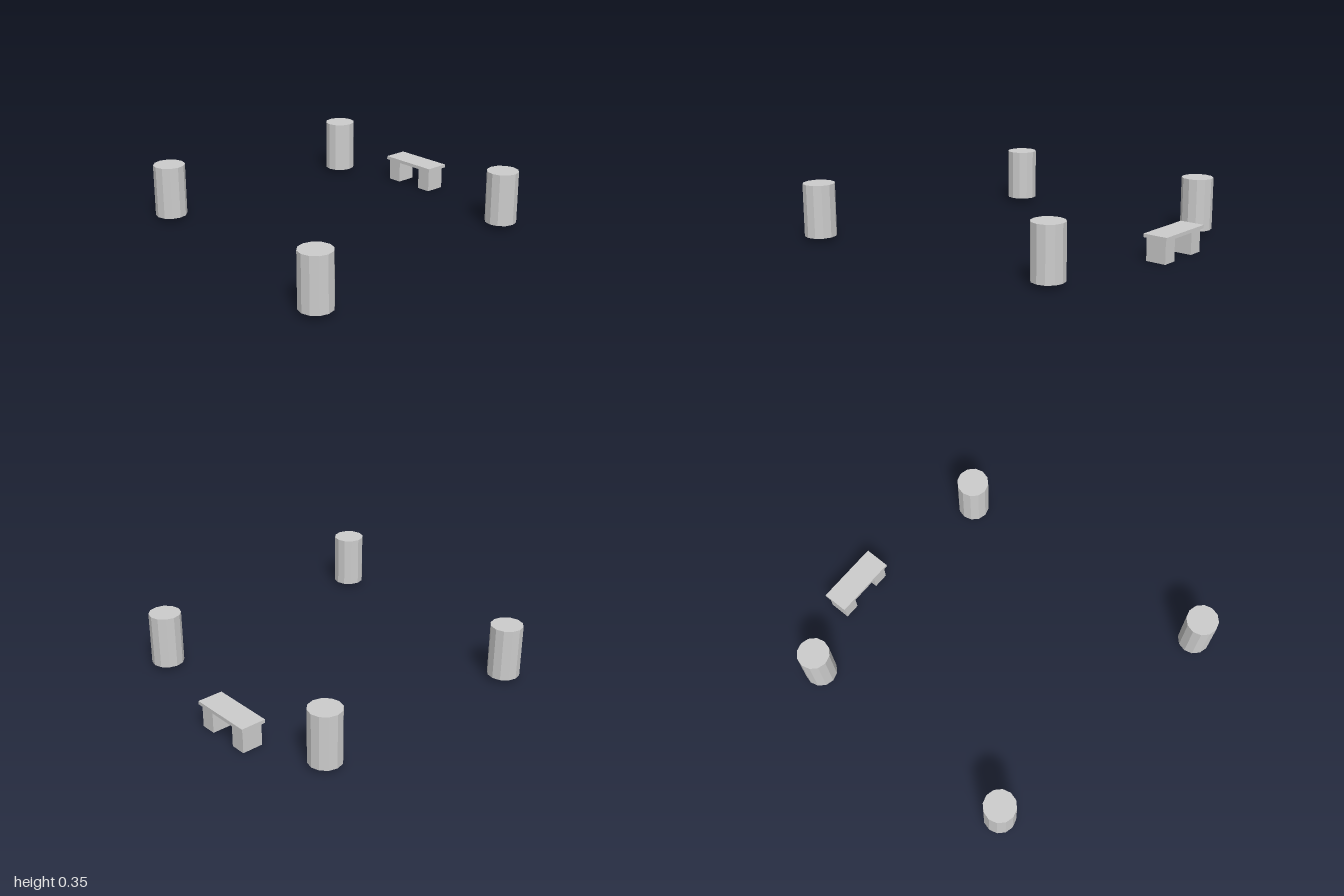
import * as THREE from 'three';

export function createModel() {
  const group = new THREE.Group();
  const stone = new THREE.MeshStandardMaterial({ color: 0xcccccc, flatShading: true });
  stone.name = 'grey stone';

  const add = (parent, name, geometry, x, y, z) => {
    const mesh = new THREE.Mesh(geometry, stone);
    mesh.name = name;
    mesh.position.set(x, y, z);
    parent.add(mesh);
  };

  // Four twelve-sided drums, floating just above the ground
  const drum = new THREE.CylinderGeometry(0.097, 0.097, 0.322, 12);
  const spots = [[-0.81, -0.732], [0.644, -0.732], [-0.81, 0.681], [0.807, 0.903]];
  spots.forEach(([x, z], i) => add(group, `drum${i + 1}`, drum, x, 0.19, z));

  // Bench at the back: a thin slab on two block legs
  const bench = new THREE.Group();
  bench.name = 'bench';
  bench.position.set(-0.258, 0, -0.922);
  add(bench, 'benchSeat', new THREE.BoxGeometry(0.39, 0.021, 0.155), 0, 0.15, 0);
  const leg = new THREE.BoxGeometry(0.093, 0.14, 0.127);
  for (const side of [-1, 1]) {
    add(bench, side < 0 ? 'rightLeg' : 'leftLeg', leg, side * 0.134, 0.07, 0);
  }
  group.add(bench);

  return group;
}
